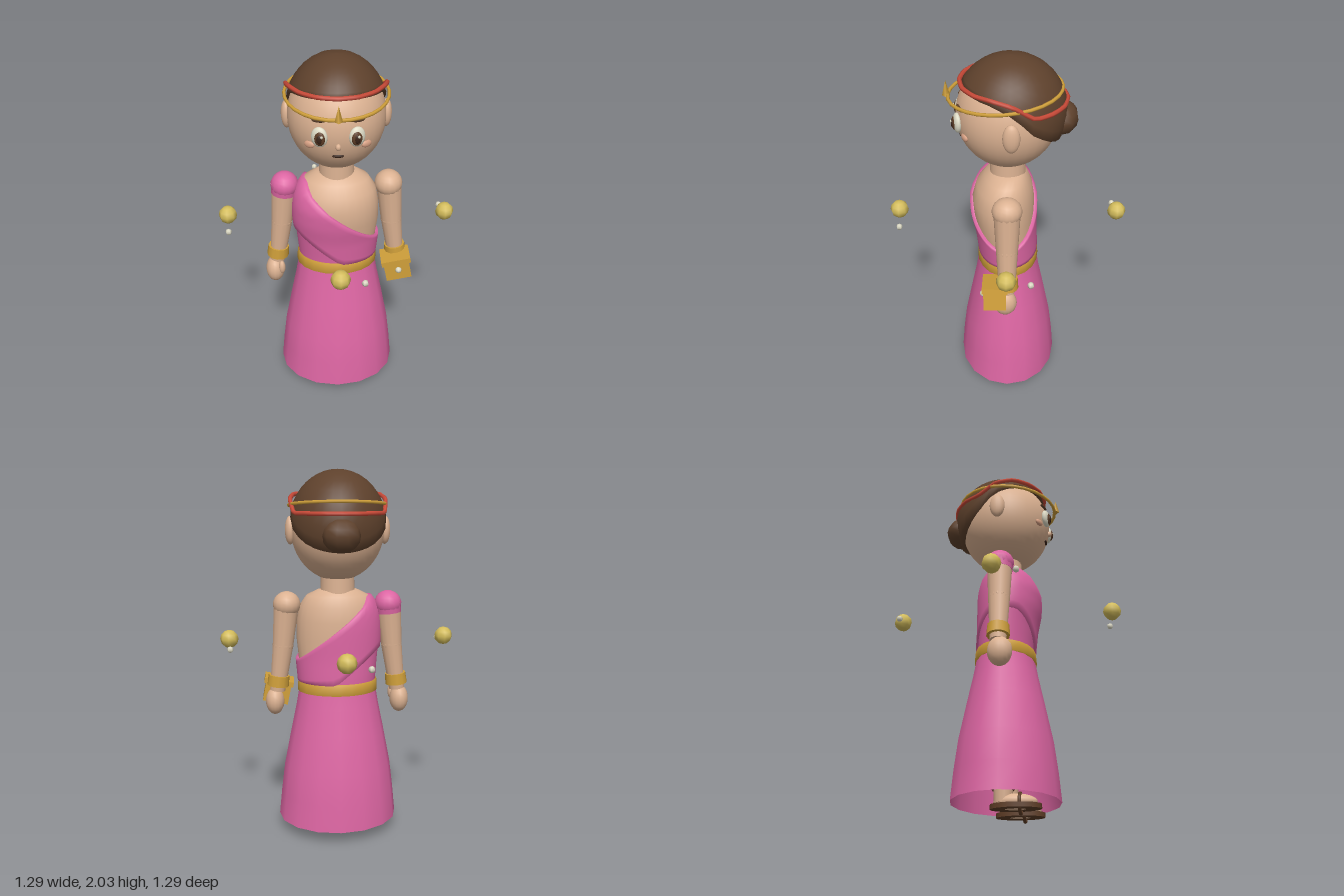
import * as THREE from 'three';

const mat = (name, color, side = THREE.FrontSide) => {
  const m = new THREE.MeshStandardMaterial({ color, side });
  m.name = name;
  return m;
};

// Closed tube of surface: fn(angle, v) gives a point; v runs from bottom to top.
function wrapGrid(fn, nu, nv) {
  const pos = [], idx = [];
  for (let j = 0; j <= nv; j++)
    for (let i = 0; i < nu; i++) pos.push(...fn((i / nu) * Math.PI * 2, j / nv));
  for (let j = 0; j < nv; j++)
    for (let i = 0; i < nu; i++) {
      const a = j * nu + i, b = j * nu + ((i + 1) % nu);
      idx.push(a, b, b + nu, a, b + nu, a + nu);
    }
  const g = new THREE.BufferGeometry();
  g.setAttribute('position', new THREE.Float32BufferAttribute(pos, 3));
  g.setIndex(idx);
  g.computeVertexNormals();
  return g;
}

// Linear lookup in rows sorted by their first number.
function lookup(rows, t) {
  let k = 0;
  while (k < rows.length - 2 && t > rows[k + 1][0]) k++;
  const a = rows[k], b = rows[k + 1];
  const f = THREE.MathUtils.clamp((t - a[0]) / (b[0] - a[0]), 0, 1);
  return a.map((v, i) => v + (b[i] - v) * f);
}

// Point on an elliptical body given by rows of [y, rx, rz, centreZ].
function bodyPoint(rows, phi, y, off = 0) {
  const [, rx, rz, cz] = lookup(rows, y);
  return [Math.sin(phi) * (rx + off), y, Math.cos(phi) * (rz + off) + cz];
}
const loft = (rows, n) => wrapGrid((phi, v) =>
  bodyPoint(rows, phi, rows[Math.round(v * (rows.length - 1))][0]), n, rows.length - 1);

export function createModel() {
  const root = new THREE.Group();
  const skin = mat('skin', 0xdcb292);
  const hairBrown = mat('hair brown', 0x5e412c, THREE.DoubleSide);
  const pink = mat('dress pink', 0xdd66a3, THREE.DoubleSide);
  const gold = mat('gold', 0xcf9f3a, THREE.DoubleSide);
  const orbYellow = mat('orb yellow', 0xd4bd5c);
  const red = mat('ribbon red', 0xc94a38);
  const pearl = mat('pearl', 0xdedbc6);
  const dark = mat('dark brown', 0x3a2418);
  const leather = mat('sandal leather', 0x5e3d26);
  const blush = mat('blush', 0xd8a184);

  const add = (name, geo, m, x = 0, y = 0, z = 0, parent = root) => {
    const o = new THREE.Mesh(geo, m);
    o.name = name;
    o.position.set(x, y, z);
    parent.add(o);
    return o;
  };
  const ball = (name, m, p, r, w = 16, h = 12) => {
    const o = add(name, new THREE.SphereGeometry(1, w, h), m, ...p);
    o.scale.set(...r);
    return o;
  };
  const limb = (name, m, p, q, rp, rq, n = 14) => {
    const a = new THREE.Vector3(...p), b = new THREE.Vector3(...q), d = b.clone().sub(a);
    const o = add(name, new THREE.CylinderGeometry(rq, rp, d.length(), n), m);
    o.position.copy(a).addScaledVector(d, 0.5);
    o.quaternion.setFromUnitVectors(new THREE.Vector3(0, 1, 0), d.normalize());
    return o;
  };

  // Torso and neck
  const torso = [
    [0.8, 0.2, 0.145, 0], [0.87, 0.206, 0.148, 0], [1.0, 0.217, 0.152, 0.01],
    [1.1, 0.227, 0.163, 0.02], [1.2, 0.224, 0.166, 0.024], [1.28, 0.208, 0.148, 0.018],
    [1.335, 0.17, 0.115, 0.008], [1.365, 0.11, 0.085, 0], [1.375, 0.06, 0.06, 0]];
  add('torso', loft(torso, 28), skin);
  add('neck', new THREE.CylinderGeometry(0.09, 0.095, 0.12, 20), skin, 0, 1.4, 0);

  // One-shoulder bodice and the raised sash that follows its slanted top edge
  const slant = (phi) => Math.min(1.335, 1.165 - 0.185 * Math.sin(phi));
  add('bodice', wrapGrid((phi, v) =>
    bodyPoint(torso, phi, 0.82 + (slant(phi) - 0.82) * v, 0.006), 40, 10), pink);
  add('sash', wrapGrid((phi, v) => {
    const top = slant(phi), low = Math.max(0.86, top - 0.29);
    const edge = v < 0.01 || v > 0.99;
    const t = THREE.MathUtils.clamp((v - 0.1) / 0.8, 0, 1);
    return bodyPoint(torso, phi, low + (top - low) * t, edge ? 0 : 0.018);
  }, 40, 10), pink);

  // Skirt and belt
  add('skirt', loft([
    [0.05, 0.338, 0.283, 0], [0.2, 0.323, 0.27, 0], [0.36, 0.303, 0.25, 0],
    [0.57, 0.262, 0.208, 0], [0.72, 0.231, 0.177, 0], [0.8, 0.217, 0.163, 0],
    [0.865, 0.205, 0.152, 0]], 16), pink);
  add('belt', loft([
    [0.8, 0.205, 0.15, 0], [0.803, 0.224, 0.17, 0], [0.862, 0.22, 0.165, 0],
    [0.865, 0.2, 0.145, 0]], 20), gold);

  // Arms, legs and everything mirrored
  for (const s of [-1, 1]) {
    ball('shoulder', s < 0 ? pink : skin, [s * 0.278, 1.285, 0], [0.075, 0.072, 0.078]);
    if (s < 0) limb('sleeveHem', pink, [s * 0.283, 1.235, 0], [s * 0.278, 1.29, 0], 0.07, 0.075);
    limb('upperArm', skin, [s * 0.302, 1.06, 0], [s * 0.28, 1.29, 0], 0.058, 0.07);
    ball('elbow', skin, [s * 0.302, 1.06, 0], [0.058, 0.058, 0.058]);
    limb('forearm', skin, [s * 0.337, 0.8, 0], [s * 0.302, 1.06, 0], 0.043, 0.058);
    limb('bracelet', gold, [s * 0.334, 0.828, 0], [s * 0.327, 0.888, 0], 0.061, 0.058, 12);
    ball('hand', skin, [s * 0.352, 0.735, 0.01], [0.053, 0.078, 0.064]);
    ball('thumb', skin, [s * 0.312, 0.765, 0.045], [0.02, 0.042, 0.024], 10, 8);

    limb('leg', skin, [s * 0.115, 0.03, 0], [s * 0.115, 0.55, 0], 0.046, 0.07);
    const sole = add('sandalSole', new THREE.CylinderGeometry(1, 1, 0.024, 20), leather, s * 0.115, 0.012, 0.062);
    sole.scale.set(0.07, 1, 0.128);
    ball('foot', skin, [s * 0.115, 0.035, 0.06], [0.056, 0.04, 0.11]);
    const strap = add('sandalStrap', new THREE.TorusGeometry(0.058, 0.009, 6, 18), leather, s * 0.115, 0.028, 0.085);
    strap.scale.y = 0.85;
    const ankle = add('ankleStrap', new THREE.TorusGeometry(0.05, 0.009, 6, 18), leather, s * 0.115, 0.1, 0);
    ankle.rotation.x = Math.PI / 2;

    // Face halves
    ball('ear', skin, [s * 0.253, 1.685, -0.02], [0.028, 0.075, 0.043]);
    ball('eyeWhite', pearl, [s * 0.09, 1.683, 0.246], [0.041, 0.052, 0.022]).rotation.y = s * 0.3;
    ball('iris', leather, [s * 0.089, 1.68, 0.262], [0.027, 0.036, 0.012]).rotation.y = s * 0.3;
    ball('pupil', dark, [s * 0.089, 1.68, 0.27], [0.016, 0.023, 0.008], 12, 8);
    ball('eyeGlint', pearl, [s * 0.089 + 0.009, 1.695, 0.277], [0.007, 0.008, 0.004], 8, 6);
    const brow = ball('eyebrow', hairBrown, [s * 0.092, 1.763, 0.234], [0.038, 0.01, 0.01], 10, 6);
    brow.rotation.set(0, s * 0.35, s * -0.06);
    ball('cheek', blush, [s * 0.138, 1.627, 0.209], [0.029, 0.019, 0.012], 12, 8).rotation.y = s * 0.55;
  }

  // Head, nose and mouth
  ball('head', skin, [0, 1.69, 0], [0.25, 0.275, 0.26], 32, 24);
  ball('nose', skin, [0, 1.632, 0.257], [0.014, 0.018, 0.016], 10, 8);
  ball('mouth', dark, [0, 1.575, 0.237], [0.03, 0.009, 0.008], 12, 6);

  // Hair cap: high on the forehead, sweeping down behind the ears
  const rim = [[-1, 1.585], [-0.75, 1.62], [-0.4, 1.69], [-0.1, 1.785], [0.3, 1.835], [1, 1.86]];
  add('hair', wrapGrid((phi, v) => {
    const low = Math.acos((lookup(rim, Math.cos(phi))[1] - 1.71) / 0.29);
    const th = low * Math.min(1, (1 - v) / 0.9);
    const k = v < 0.01 ? 0.88 : 1;
    return [Math.sin(phi) * Math.sin(th) * 0.26 * k, 1.71 + Math.cos(th) * 0.29,
      Math.cos(phi) * Math.sin(th) * 0.285 * k - 0.015];
  }, 32, 10), hairBrown);
  ball('hairBun', hairBrown, [0, 1.672, -0.268], [0.1, 0.088, 0.087], 10, 8);

  // Red ribbon, stepped down behind the ears
  const ribbon = [];
  for (let i = 0; i < 16; i++) {
    const a = (i / 16) * Math.PI * 2, z = Math.cos(a) * 0.265 - 0.03;
    ribbon.push(new THREE.Vector3(Math.sin(a) * 0.252,
      1.87 - 0.09 * THREE.MathUtils.clamp(-z / 0.11, 0, 1), z));
  }
  add('ribbon', new THREE.TubeGeometry(
    new THREE.CatmullRomCurve3(ribbon, true, 'catmullrom', 0.2), 48, 0.012, 6, true), red);

  // Gold circlet with a front spike
  const circlet = add('circlet', new THREE.TorusGeometry(0.27, 0.009, 6, 28), gold, 0, 1.815, 0.013);
  circlet.rotation.x = Math.PI / 2 + 0.09;
  circlet.scale.set(0.96, 1.05, 1);
  add('circletSpike', new THREE.ConeGeometry(0.02, 0.08, 4), gold, 0, 1.825, 0.303);

  // Tilted casket held in the left hand
  const casket = new THREE.Group();
  casket.name = 'casket';
  casket.position.set(0.338, 0.79, 0.064);
  casket.rotation.z = 0.2;
  root.add(casket);
  add('casketBody', new THREE.BoxGeometry(0.142, 0.11, 0.12), gold, 0, -0.012, 0, casket);
  add('casketLid', new THREE.BoxGeometry(0.164, 0.03, 0.135), gold, 0, 0.052, 0, casket);
  add('casketPearl', new THREE.SphereGeometry(0.018, 8, 6), pearl, 0.005, 0, 0.064, casket);

  // Four floating orbs, each with a small pearl
  for (let i = 0; i < 4; i++) {
    const orbit = new THREE.Group();
    orbit.name = 'floatingOrb';
    orbit.rotation.y = (i * Math.PI) / 2;
    root.add(orbit);
    add('orb', new THREE.SphereGeometry(0.05, 8, 6), orbYellow, 0, 1.098, 0.595, orbit);
    add('orbPearl', new THREE.SphereGeometry(0.018, 5, 4), pearl, 0.12, 1.064, 0.583, orbit);
  }
  return root;
}
